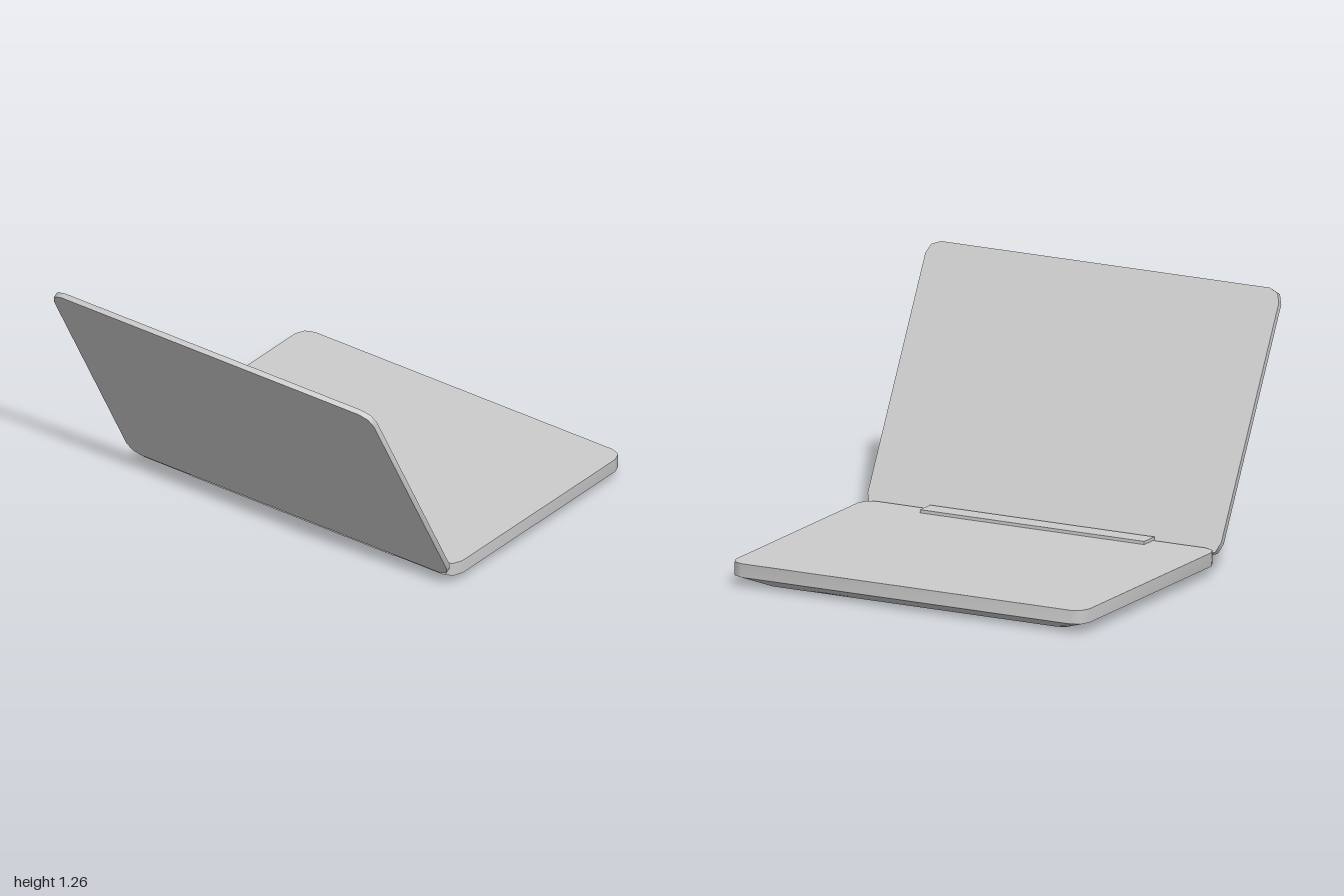
import * as THREE from 'three';
import { toCreasedNormals } from 'three/addons/utils/BufferGeometryUtils.js';

const WIDTH = 1.94, DEPTH = 1.34, CORNER = 0.068;

// Rounded rectangle in the xz plane at height y, each corner in two facets.
function roundedLoop(y, scale = 1) {
  const loop = [];
  const cx = WIDTH / 2 - CORNER, cz = DEPTH / 2 - CORNER;
  [[1, 1], [-1, 1], [-1, -1], [1, -1]].forEach(([sx, sz], quarter) => {
    for (let i = 0; i <= 2; i++) {
      const a = (quarter + i / 2) * Math.PI / 2;
      loop.push([
        (sx * cx + CORNER * Math.cos(a)) * scale,
        y,
        (sz * cz + CORNER * Math.sin(a)) * scale,
      ]);
    }
  });
  return loop;
}

// Skin a stack of loops from bottom to top and cap both ends.
function loft(loops) {
  const n = loops[0].length, last = loops.length - 1;
  const points = loops.flat();
  const bottom = points.push([0, loops[0][0][1], 0]) - 1;
  const top = points.push([0, loops[last][0][1], 0]) - 1;
  const index = [];
  for (let i = 0; i < n; i++) {
    const j = (i + 1) % n;
    for (let k = 0; k < last; k++) {
      const low = k * n, up = low + n;
      index.push(low + i, up + i, low + j, low + j, up + i, up + j);
    }
    index.push(bottom, i, j, top, last * n + j, last * n + i);
  }
  const geometry = new THREE.BufferGeometry();
  geometry.setAttribute('position', new THREE.Float32BufferAttribute(points.flat(), 3));
  geometry.setIndex(index);
  return toCreasedNormals(geometry, 0.9);
}

export function createModel() {
  const group = new THREE.Group();
  const material = new THREE.MeshStandardMaterial({ color: 0xcccccc });
  const add = (name, geometry, x, y, z) => {
    const mesh = new THREE.Mesh(geometry, material);
    mesh.name = name;
    mesh.position.set(x, y, z);
    group.add(mesh);
    return mesh;
  };

  // Base: upright rim above a tapered underside
  add('base', loft([roundedLoop(0, 0.865), roundedLoop(0.05), roundedLoop(0.118)]), 0, 0, -0.33);

  // Lid: thin panel leaning outward from its lower edge
  const lidGeometry = loft([roundedLoop(0), roundedLoop(0.028)]);
  lidGeometry.translate(0, 0, DEPTH / 2);
  const lid = add('screenLid', lidGeometry, 0, 0.07, 0.363);
  lid.rotation.x = -THREE.MathUtils.degToRad(61.7);

  // Hinge bar set into the edge of the base
  add('hinge', new THREE.BoxGeometry(1.23, 0.08, 0.1), 0, 0.094, 0.3);

  return group;
}
